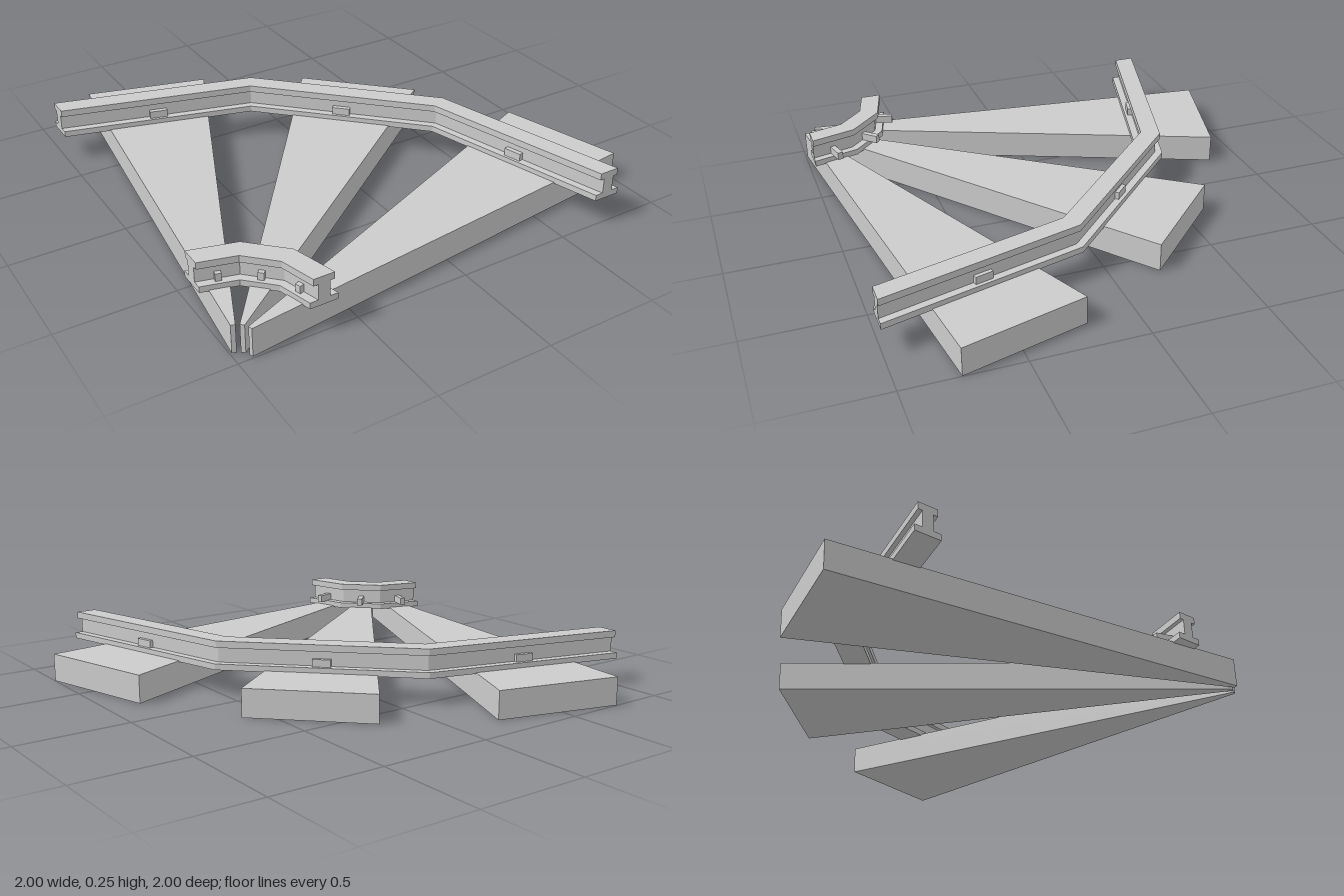
import * as THREE from 'three';

const material = new THREE.MeshStandardMaterial({ color: 0xcccccc, flatShading: true, side: THREE.DoubleSide });
const ANGLES = [15, 45, 75].map(THREE.MathUtils.degToRad);

function addMesh(parent, geometry, name) {
  const mesh = new THREE.Mesh(geometry, material);
  mesh.name = name;
  parent.add(mesh);
  return mesh;
}

// Faceted quarter-turn rail with an I-shaped section and closed ends
function makeRail(radius, name) {
  const rail = new THREE.Group();
  rail.name = name;
  const half = [[0.06, 0.12], [0.06, 0.147], [0.025, 0.147], [0.025, 0.215], [0.045, 0.215], [0.045, 0.245]];
  const right = half.map(([x, y]) => new THREE.Vector2(radius + x, y));
  const left = half.map(([x, y]) => new THREE.Vector2(radius - x, y)).reverse();
  const section = [...right, ...left];
  addMesh(rail, new THREE.LatheGeometry([...section, section[0]], 3, Math.PI / 2, Math.PI / 2), 'railBody');
  const cap = new THREE.ShapeGeometry(new THREE.Shape(section));
  addMesh(rail, cap, 'railEndFront');
  addMesh(rail, cap, 'railEndSide').rotation.y = Math.PI / 2;
  return rail;
}

// Block crossing the rail web, between two radii along the sleeper direction
function addClip(parent, angle, inner, outer, width, name) {
  const geometry = new THREE.BoxGeometry(outer - inner, 0.035, width);
  geometry.translate((inner + outer) / 2, 0.1625, 0);
  addMesh(parent, geometry, name).rotation.y = angle;
}

export function createModel() {
  const model = new THREE.Group();
  model.name = 'curvedTrack';

  // Everything is laid out around the centre of the curve
  const track = new THREE.Group();
  track.name = 'track';
  track.position.set(-1, 0, 1);
  model.add(track);

  // Tapered sleepers fanning out from the centre
  const wedge = new THREE.Shape([
    new THREE.Vector2(0.063, -0.009), new THREE.Vector2(1.993, -0.282),
    new THREE.Vector2(1.993, 0.282), new THREE.Vector2(0.063, 0.009),
  ]);
  const sleeper = new THREE.ExtrudeGeometry(wedge, { depth: 0.125, bevelEnabled: false });
  sleeper.rotateX(-Math.PI / 2);

  for (const angle of ANGLES) {
    addMesh(track, sleeper, 'sleeper').rotation.y = angle;
    addClip(track, angle, 0.30, 0.447, 0.025, 'innerRailClip');
    addClip(track, angle, 1.618, 1.705, 0.08, 'outerRailClip');
  }

  track.add(makeRail(0.355, 'innerRail'), makeRail(1.722, 'outerRail'));
  return model;
}
